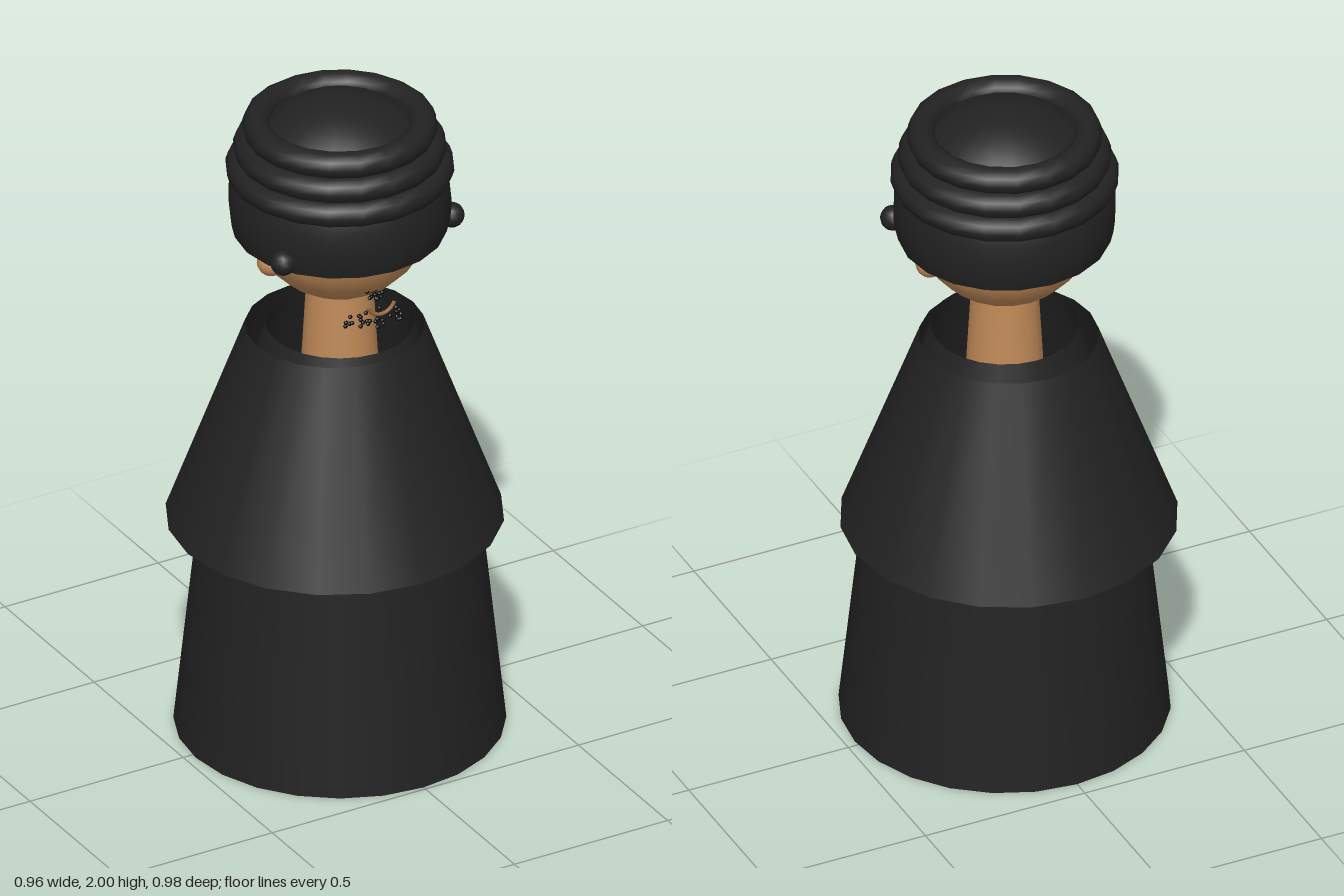
import * as THREE from 'three';

export function createModel() {
  const model = new THREE.Group();
  const cloth = new THREE.MeshStandardMaterial({ color: 0x222222, side: THREE.DoubleSide });
  cloth.name = 'charcoal cloth';
  const skin = new THREE.MeshStandardMaterial({ color: 0xc08a58 });
  skin.name = 'skin';
  const lip = new THREE.MeshStandardMaterial({ color: 0x9a6a40 });
  lip.name = 'lip brown';
  const hair = new THREE.MeshStandardMaterial({ color: 0x0a0a0a });
  hair.name = 'black hair';

  const Z = 0.02; // shared axis of robe, head and hat
  const add = (name, geometry, material, x, y, z) => {
    const mesh = new THREE.Mesh(geometry, material);
    mesh.name = name;
    mesh.position.set(x, y, z);
    model.add(mesh);
    return mesh;
  };
  // Tapered tube between two heights
  const taper = (name, material, rTop, rBottom, y0, y1, z, sides, open) =>
    add(name, new THREE.CylinderGeometry(rTop, rBottom, y1 - y0, sides, 1, open),
      material, 0, (y0 + y1) / 2, z);

  // Clothing: robe, shoulders ending in an open collar, and outer cape
  taper('robe', cloth, 0.4, 0.47, 0, 0.66, Z, 24, false);
  taper('shoulders', cloth, 0.21, 0.4, 0.66, 1.28, Z, 24, true);
  taper('cape', cloth, 0.255, 0.48, 0.65, 1.26, -0.008, 20, true);

  // Neck and head
  taper('neck', skin, 0.095, 0.112, 1.12, 1.42, Z, 20, false);
  add('head', new THREE.SphereGeometry(0.265, 20, 14), skin, 0, 1.655, Z);

  // Wrapped hat: rounded cap with three rolls
  add('cap', new THREE.SphereGeometry(0.317, 20, 16, 0, Math.PI * 2, 0, Math.PI * 0.594),
    cloth, 0, 1.683, Z);
  [[0.285, 1.79], [0.263, 1.855], [0.237, 1.92]].forEach(([radius, y], i) => {
    add('hatRoll' + (i + 1), new THREE.TorusGeometry(radius, 0.04, 10, 20), cloth, 0, y, Z)
      .rotation.x = Math.PI / 2;
  });

  // Ears and hair curls at both temples
  for (const side of [-1, 1]) {
    add('ear', new THREE.SphereGeometry(0.041, 14, 10), skin, side * 0.23, 1.545, 0.03);
    add('curl', new THREE.SphereGeometry(0.037, 12, 8), cloth, side * 0.275, 1.625, 0.175);
  }

  // Face: smile and tiny brow mark
  add('smile', new THREE.TorusGeometry(0.045, 0.006, 6, 14, Math.PI * 0.8), lip, 0, 1.465, 0.253)
    .rotation.z = Math.PI * 1.1;
  add('browMark', new THREE.SphereGeometry(0.008, 6, 4), hair, 0, 1.587, 0.28);

  // Stubble: seeded specks on the chin, with a denser tuft above the smile
  let seed = 7;
  const rand = () => (seed = (seed * 16807) % 2147483647) / 2147483647;
  const speck = new THREE.IcosahedronGeometry(0.007, 0);
  for (let i = 0; i < 46; i++) {
    const tuft = i < 16;
    const x = (rand() - 0.5) * (tuft ? 0.045 : 0.18);
    const y = tuft ? 1.455 + rand() * 0.024 : 1.37 + rand() * 0.04;
    add(tuft ? 'moustacheSpeck' : 'beardSpeck', speck, hair, x, y, 0.2 + rand() * 0.04);
  }
  return model;
}
